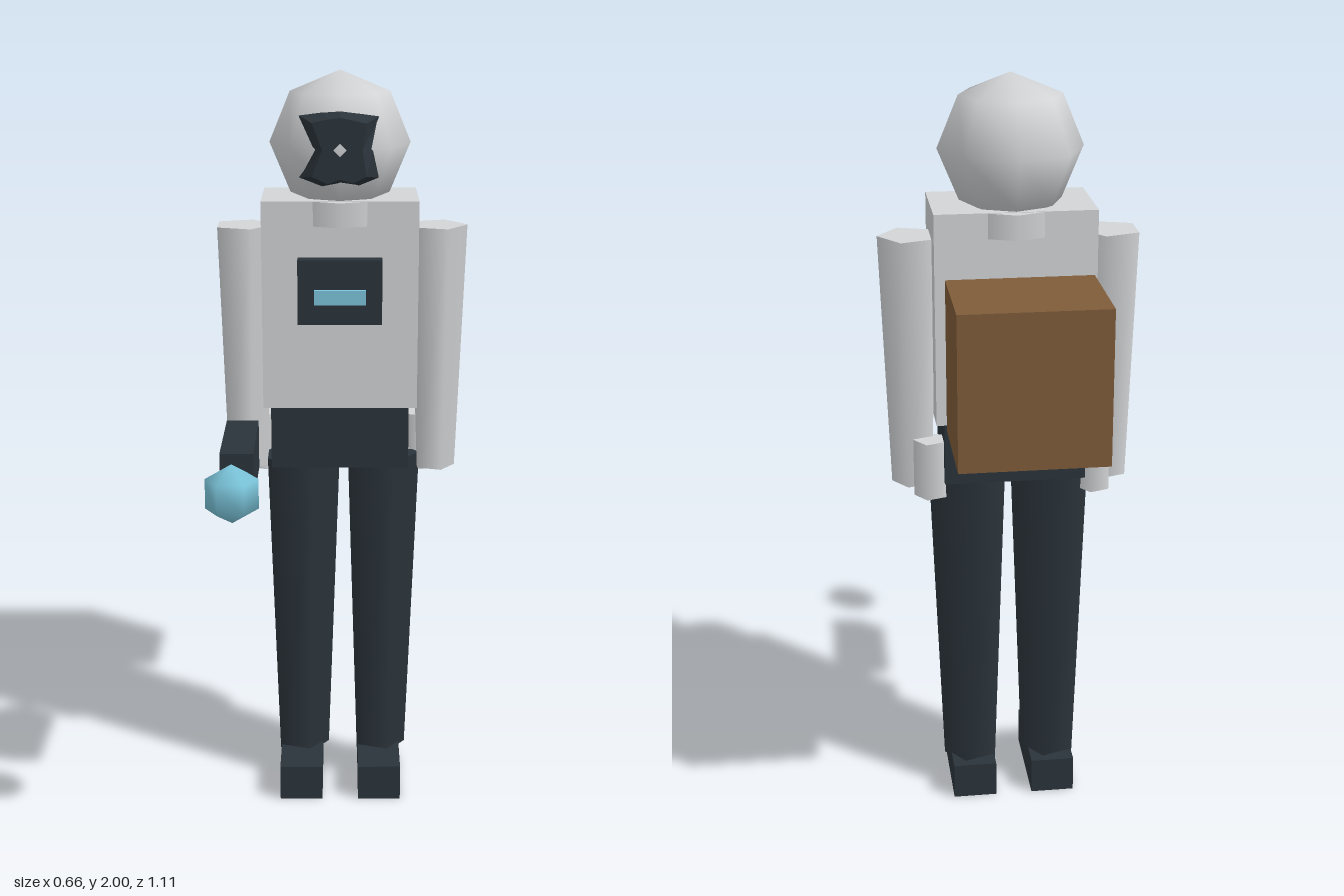
import * as THREE from 'three';

const mat = (name, color) => {
  const m = new THREE.MeshStandardMaterial({ color });
  m.name = name;
  return m;
};

export function createModel() {
  const root = new THREE.Group();
  const shell = mat('pale grey shell', 0xd2d4d6);
  const dark = mat('dark slate', 0x2b343b);
  const brown = mat('pack brown', 0x7f5c3a);
  const cyan = mat('glow cyan', 0x7cc6dc);

  const add = (name, geometry, material, x, y, z) => {
    const mesh = new THREE.Mesh(geometry, material);
    mesh.name = name;
    mesh.position.set(x, y, z);
    root.add(mesh);
    return mesh;
  };
  // Box given by its limits on each axis
  const box = (name, material, [x0, x1], [y0, y1], [z0, z1]) =>
    add(name, new THREE.BoxGeometry(x1 - x0, y1 - y0, z1 - z0), material,
      (x0 + x1) / 2, (y0 + y1) / 2, (z0 + z1) / 2);
  // Five-sided tapered limb with one corner towards +x
  const limb = (name, material, rTop, rBottom, y0, y1, x, z) =>
    add(name, new THREE.CylinderGeometry(rTop, rBottom, y1 - y0, 5, 1, false, Math.PI / 2),
      material, x, (y0 + y1) / 2, z);

  const cx = -0.006, cz = -0.088;

  // Head and collar
  const R = 0.184;
  add('head', new THREE.SphereGeometry(R, 8, 4), shell, cx, 1.817, cz);
  add('collar', new THREE.CylinderGeometry(0.148, 0.148, 0.064, 8), shell, cx, 1.647, cz);

  // Visor: bevelled plate rising from the face, pierced by the tip of the head
  const outline = [
    [0, 0.095], [0.05, 0.087], [0.102, 0.078], [0.085, 0], [0.102, -0.078], [0.05, -0.097],
    [0, -0.086], [-0.047, -0.099], [-0.108, -0.078], [-0.068, 0], [-0.108, 0.08], [-0.047, 0.09],
  ];
  const front = 0.177, verts = [];
  const outer = outline.map(([x, y]) => [x, y, R - 0.004 - 0.415 * (Math.abs(x) + Math.abs(y))]);
  const inner = outline.map(([x, y]) => [x * 0.66, y * 0.85, front]);
  outline.forEach((_, i) => {
    const j = (i + 1) % outline.length;
    verts.push([0, 0, front], inner[j], inner[i]);
    verts.push(inner[i], inner[j], outer[i], inner[j], outer[j], outer[i]);
  });
  const visor = new THREE.BufferGeometry();
  visor.setAttribute('position', new THREE.Float32BufferAttribute(verts.flat(), 3));
  visor.computeVertexNormals();
  add('visor', visor, dark, cx, 1.817, cz);

  // Trunk
  box('torso', shell, [-0.21, 0.198], [1.13, 1.68], [-0.207, 0.031]);
  box('waist', dark, [-0.19, 0.177], [0.96, 1.132], [-0.192, 0.02]);
  box('chestPanel', dark, [-0.116, 0.103], [1.365, 1.535], [0.02, 0.074]);
  box('chestScreen', cyan, [-0.073, 0.061], [1.42, 1.458], [0.07, 0.086]);
  box('backpack', brown, [-0.19, 0.178], [1.143, 1.535], [-0.555, -0.276]);

  // Arms, hands, legs and feet
  for (const [side, s] of [['left', 1], ['right', -1]]) {
    limb(side + 'Arm', shell, 0.08, 0.057, 0.935, 1.6, cx + s * 0.257, cz);
    limb(side + 'Hand', shell, 0.045, 0.045, 0.915, 1.07, cx + s * 0.215, -0.144);
    const legX = cx + s * 0.109;
    limb(side + 'Leg', dark, 0.108, 0.076, 0.09, 0.97, legX, cz);
    box(side + 'Foot', dark, [legX - 0.059, legX + 0.059], [0, 0.1], [-0.184, 0.094]);
  }

  // Hand-held device and the glowing orb ahead of it
  box('device', dark, [-0.309, -0.224], [0.96, 1.09], [0.014, 0.312]);
  add('orb', new THREE.SphereGeometry(0.075, 6, 3), cyan, -0.267, 1.048, 0.497);

  return root;
}
